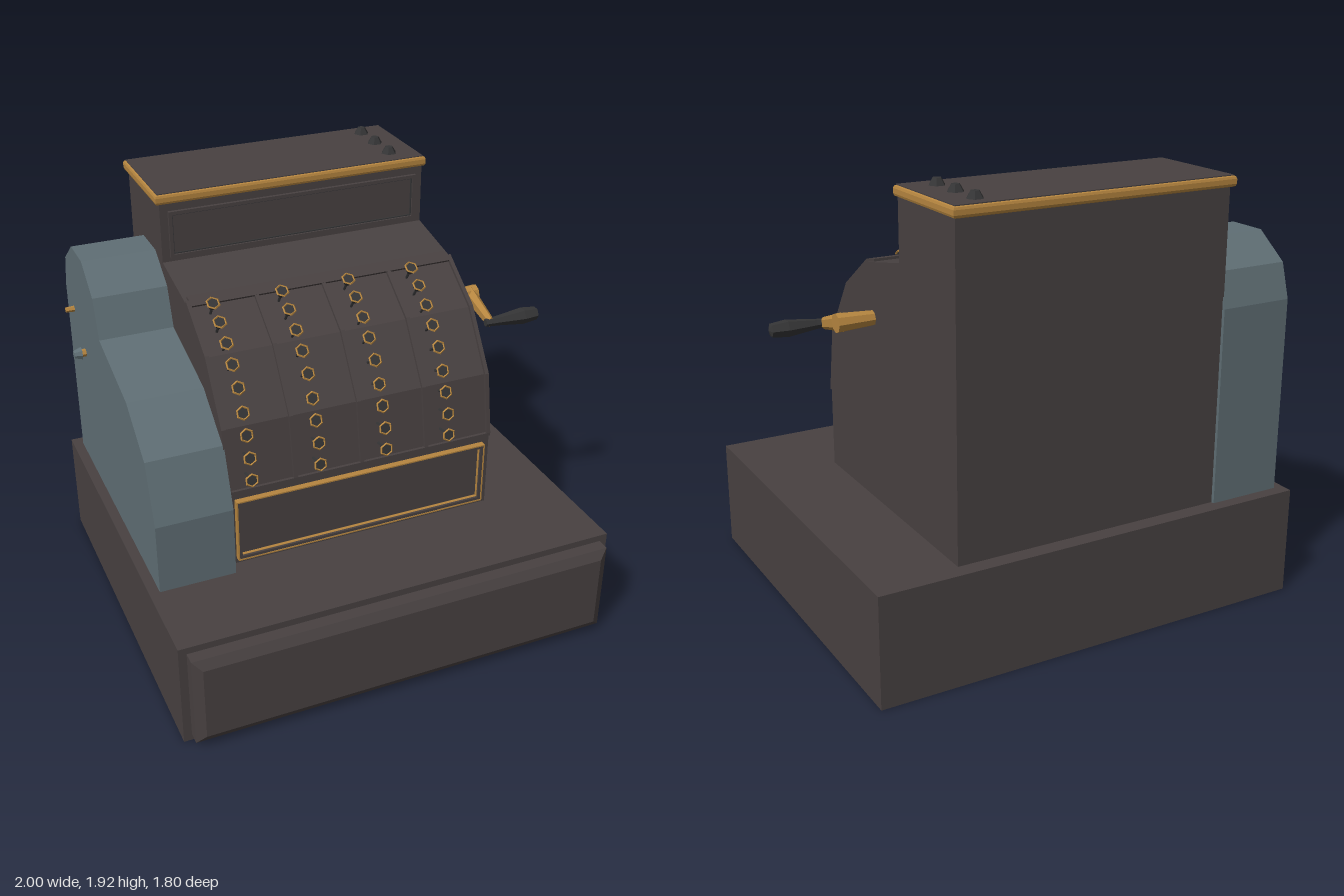
import * as THREE from 'three';

const mat = (name, color) => {
  const m = new THREE.MeshStandardMaterial({ color, flatShading: true });
  m.name = name;
  return m;
};

export function createModel() {
  const root = new THREE.Group();
  root.name = 'cashRegister';
  const dark = mat('darkCase', 0x484141);
  const brass = mat('brass', 0xb5853f);
  const steel = mat('blueSteel', 0x5f6e74);
  const black = mat('blackFittings', 0x353536);

  const add = (name, geo, material, x = 0, y = 0, z = 0, parent = root) => {
    const m = new THREE.Mesh(geo, material);
    m.name = name;
    m.position.set(x, y, z);
    parent.add(m);
    return m;
  };
  // Box given by its limits
  const box = (name, material, x0, x1, y0, y1, z0, z1) =>
    add(name, new THREE.BoxGeometry(x1 - x0, y1 - y0, z1 - z0), material,
      (x0 + x1) / 2, (y0 + y1) / 2, (z0 + z1) / 2);
  // Side profile of [z, y] points, extruded across x
  const profile = (name, material, pts, x0, x1) => {
    const shape = new THREE.Shape(pts.map(p => new THREE.Vector2(p[0], p[1])));
    const g = new THREE.ExtrudeGeometry(shape, { depth: x1 - x0, bevelEnabled: false });
    g.rotateY(-Math.PI / 2);
    return add(name, g, material, x1);
  };
  const rect = (S, x0, x1, y0, y1) => new S([[x0, y0], [x1, y0], [x1, y1], [x0, y1]].map(p => new THREE.Vector2(...p)));
  // Flat rectangular frame facing +z
  const frame = (name, material, x0, x1, y0, y1, t, z, depth) => {
    const s = rect(THREE.Shape, x0, x1, y0, y1);
    s.holes.push(rect(THREE.Path, x0 + t, x1 - t, y0 + t, y1 - t));
    return add(name, new THREE.ExtrudeGeometry(s, { depth, bevelEnabled: false }), material, 0, 0, z);
  };
  // Cylinder with its axis along x
  const rod = (name, material, r0, r1, x0, x1, y, z, sides, parent = root) => {
    const g = new THREE.CylinderGeometry(r1, r0, x1 - x0, sides);
    g.rotateZ(-Math.PI / 2);
    return add(name, g, material, (x0 + x1) / 2, y, z, parent);
  };

  // Base and cash drawer
  box('base', dark, -0.99, 0.99, 0, 0.48, -0.9, 0.82);
  add('drawerFront', new THREE.ExtrudeGeometry(rect(THREE.Shape, -0.915, 0.915, 0.07, 0.41), {
    depth: 0.07, bevelThickness: 0.025, bevelSize: 0.04, bevelSegments: 1,
  }), dark, 0, 0, 0.805);

  // Main case with the faceted curved front
  const curve = [[0.375, 0.85], [0.33, 1.12], [0.16, 1.37], [-0.06, 1.52]];
  profile('case', dark, [[-0.83, 0.48], [0.375, 0.48], ...curve,
    [-0.365, 1.58], [-0.365, 1.85], [-0.83, 1.85]], -0.615, 0.62);

  // Ribs between the key columns, following the curve
  const outer = [[0.388, 0.85], [0.342, 1.125], [0.168, 1.381], [-0.055, 1.533]];
  const strip = [...outer, ...curve.slice().reverse()];
  for (const x of [-0.606, -0.31, -0.003, 0.304, 0.611]) profile('keyBankRib', dark, strip, x - 0.009, x + 0.009);
  profile('keyBankHeader', dark, [[-0.04, 1.506], [-0.03, 1.517], [-0.055, 1.533], [-0.09, 1.537], [-0.09, 1.52], [-0.06, 1.515]], -0.6, 0.602);
  box('keyBankSill', dark, -0.615, 0.62, 0.835, 0.85, 0.37, 0.388);

  // Lower front panel with brass edging
  frame('lowerPanelFrame', dark, -0.58, 0.585, 0.51, 0.8, 0.016, 0.37, 0.03);
  frame('lowerPanelTrim', brass, -0.583, 0.588, 0.507, 0.803, 0.006, 0.37, 0.033);
  frame('lowerPanelInnerTrim', brass, -0.566, 0.571, 0.524, 0.786, 0.003, 0.37, 0.02);

  // Upper front panel
  frame('upperPanelFrame', dark, -0.58, 0.585, 1.6, 1.81, 0.015, -0.37, 0.02);
  frame('upperPanelInset', black, -0.566, 0.571, 1.614, 1.796, 0.006, -0.37, 0.012);

  // Brass cornice, lid and studs
  const cornice = new THREE.ExtrudeGeometry(rect(THREE.Shape, -0.62, 0.623, 0.367, 0.838), {
    depth: 0.02, bevelThickness: 0.013, bevelSize: 0.012, bevelSegments: 2,
  });
  cornice.rotateX(-Math.PI / 2);
  add('cornice', cornice, brass, 0, 1.855, 0);
  box('lid', dark, -0.622, 0.625, 1.87, 1.891, -0.84, -0.365);
  for (const z of [-0.76, -0.61, -0.46]) {
    const g = new THREE.CylinderGeometry(0.018, 0.036, 0.03, 6);
    g.rotateY(Math.PI / 6);
    add('lidStud', g, black, 0.5, 1.905, z);
  }

  // Side housing with its stepped, faceted top
  profile('sideHousing', steel, [[-0.845, 0.48], [0.44, 0.48], [0.44, 0.8], [0.35, 1.06],
    [0.13, 1.22], [-0.26, 1.32], [-0.32, 1.49], [-0.47, 1.6], [-0.65, 1.6],
    [-0.8, 1.49], [-0.845, 1.34]], -0.945, -0.61);
  rod('housingPin', brass, 0.012, 0.014, -0.985, -0.94, 1.27, -0.715, 6);
  rod('housingKnobStem', brass, 0.018, 0.018, -0.975, -0.94, 1.12, -0.56, 6);
  rod('housingKnob', steel, 0.018, 0.03, -1, -0.965, 1.12, -0.56, 8);

  // Keys: stem, tapered cup and brass ring, square to the curve
  const keyPath = [[0.43, 0.925], [0.415, 1.02], [0.385, 1.11], [0.35, 1.195], [0.305, 1.285],
    [0.245, 1.36], [0.182, 1.425], [0.108, 1.485], [0.03, 1.535]];
  const stemGeo = new THREE.CylinderGeometry(0.006, 0.006, 0.08, 5).rotateX(Math.PI / 2).translate(0, 0, -0.05);
  const cupGeo = new THREE.CylinderGeometry(0.029, 0.014, 0.034, 6).rotateX(Math.PI / 2);
  const ringGeo = new THREE.TorusGeometry(0.027, 0.005, 4, 6).rotateZ(Math.PI / 6).translate(0, 0, 0.016);
  for (const x of [-0.527, -0.223, 0.08, 0.378]) {
    keyPath.forEach(([z, y], i) => {
      const a = keyPath[Math.max(i - 1, 0)], b = keyPath[Math.min(i + 1, 8)];
      const key = new THREE.Group();
      key.name = 'key';
      key.position.set(x, y, z);
      key.rotation.x = -Math.atan2(a[0] - b[0], b[1] - a[1]);
      add('keyStem', stemGeo, black, 0, 0, 0, key);
      add('keyCup', cupGeo, black, 0, 0, 0, key);
      add('keyRing', ringGeo, brass, 0, 0, 0, key);
      root.add(key);
    });
  }

  // Crank: shaft, arm and tapered grip
  const crank = new THREE.Group();
  crank.name = 'crank';
  root.add(crank);
  rod('crankShaft', brass, 0.032, 0.042, 0.61, 0.785, 1.293, -0.1, 8, crank);
  const arm = add('crankArm', new THREE.CylinderGeometry(0.026, 0.04, 0.21, 6), brass, 0.755, 1.266, 0, crank);
  arm.scale.x = 0.7;
  arm.rotation.x = Math.PI / 2 + 0.27;
  const grip = new THREE.LatheGeometry([[0, 0], [0.018, 0], [0.022, 0.06], [0.038, 0.19], [0.03, 0.26], [0, 0.27]]
    .map(p => new THREE.Vector2(...p)), 6);
  grip.rotateZ(-Math.PI / 2);
  add('crankGrip', grip, black, 0.73, 1.24, 0.1, crank);

  return root;
}
